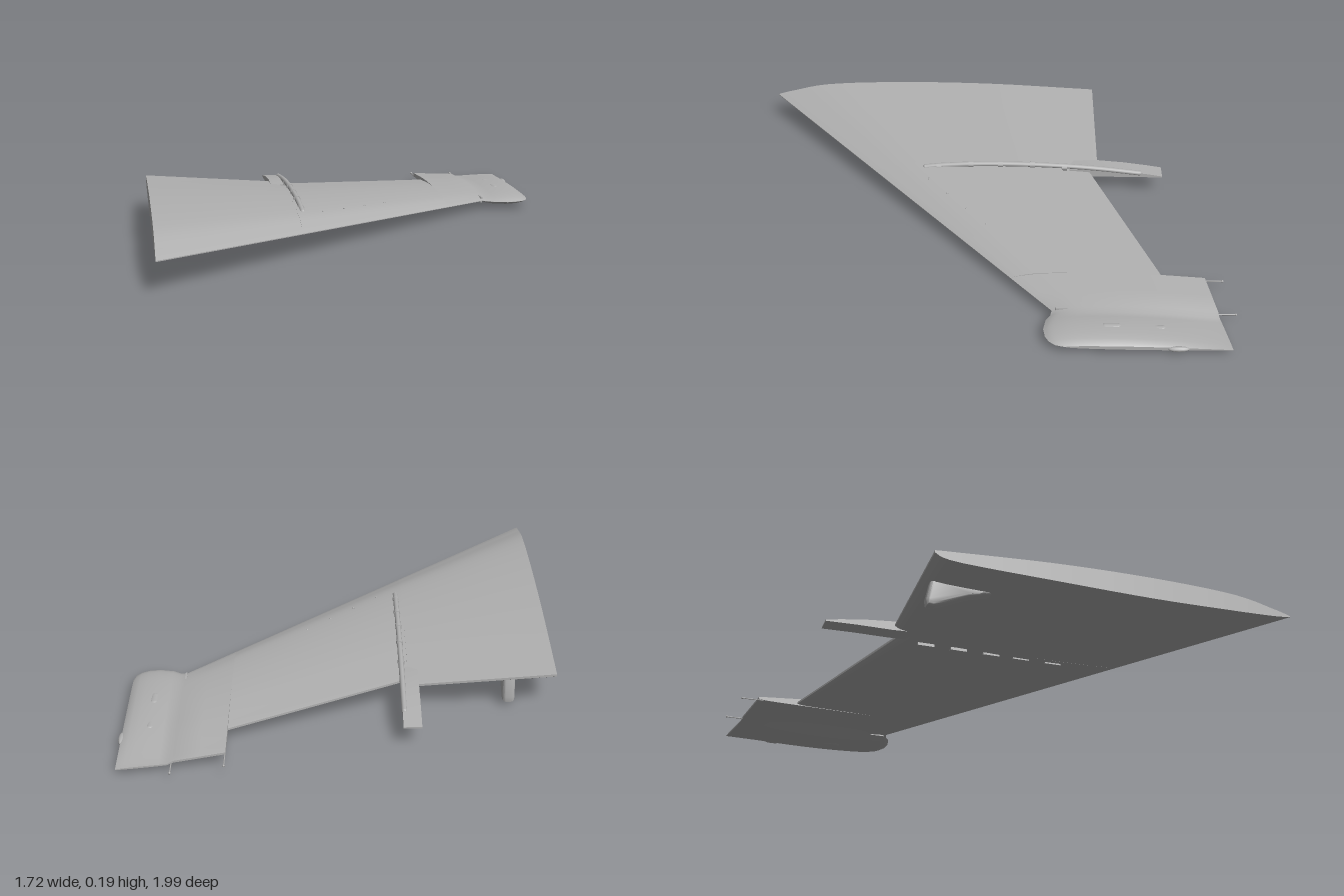
import * as THREE from 'three';
import { toCreasedNormals } from 'three/addons/utils/BufferGeometryUtils.js';

const T = [0, 0.05, 0.17, 0.4, 0.67, 0.94, 1];
const ROOT = {
  up: [0.12, 0.141, 0.177, 0.19, 0.184, 0.161, 0.155],
  low: [0.116, 0.109, 0.104, 0.1, 0.108, 0.12, 0.145],
};
const TIP = {
  up: [0.037, 0.045, 0.055, 0.06, 0.056, 0.042, 0.038],
  low: [0.035, 0.03, 0.027, 0.025, 0.026, 0.028, 0.03],
};
const lerp = THREE.MathUtils.lerp;
const leadZ = (x) => lerp(0.99, -0.27, (x + 0.86) / 1.5);

// Section of the wing at span position x with a given trailing edge
function wingSection(x, te) {
  const k = (x + 0.86) / 1.5;
  const mix = (key) => ROOT[key].map((v, i) => lerp(v, TIP[key][i], k));
  return { x, le: leadZ(x), te, up: mix('up'), low: mix('low') };
}

// Closed skin through sections ordered by increasing x
function loft(sections) {
  const n = 28;
  const rings = sections.map((s) => {
    const side = (ys) => new THREE.SplineCurve(T.map((t, i) => new THREE.Vector2(t, ys[i])))
      .getPoints(n).map((p) => [s.x, p.y, lerp(s.le, s.te, p.x)]);
    return [...side(s.up), ...side(s.low).reverse()];
  });
  const pos = [];
  const tri = (a, b, c) => pos.push(...a, ...b, ...c);
  const m = rings[0].length;
  for (let i = 0; i < rings.length - 1; i++) {
    const A = rings[i], B = rings[i + 1];
    for (let j = 0; j < m; j++) {
      const q = (j + 1) % m;
      tri(A[j], B[j], A[q]);
      tri(B[j], B[q], A[q]);
    }
  }
  const cap = (r, flip) => {
    for (let k = 0; k < n; k++) {
      const u = r[k], u2 = r[k + 1], l = r[m - 1 - k], l2 = r[m - 2 - k];
      if (flip) { tri(u, l, u2); tri(u2, l, l2); } else { tri(u, u2, l); tri(u2, l2, l); }
    }
  };
  cap(rings[0], false);
  cap(rings[rings.length - 1], true);
  const g = new THREE.BufferGeometry();
  g.setAttribute('position', new THREE.Float32BufferAttribute(pos, 3));
  return toCreasedNormals(g, 0.6);
}

// Side outline given as [z, y], extruded along x
function sideExtrude(points, x, width, bevel = 0) {
  const shape = new THREE.Shape(points.map(([z, y]) => new THREE.Vector2(-z, y)));
  const g = new THREE.ExtrudeGeometry(shape, {
    depth: width - 2 * bevel, bevelEnabled: bevel > 0, bevelSize: bevel,
    bevelThickness: bevel, bevelOffset: -bevel, bevelSegments: 4,
  });
  g.rotateY(Math.PI / 2);
  g.translate(x + bevel, 0, 0);
  return toCreasedNormals(g, 0.6);
}

export function createModel() {
  const group = new THREE.Group();
  const grey = new THREE.MeshStandardMaterial({ color: 0xb0b0b0 });
  const add = (name, geometry, x = 0, y = 0, z = 0) => {
    const mesh = new THREE.Mesh(geometry, grey);
    mesh.name = name;
    mesh.position.set(x, y, z);
    group.add(mesh);
    return mesh;
  };

  // Main wing panels
  add('inboardPanel', loft([-0.86, -0.67, -0.48, -0.27].map((x) => wingSection(x, -0.487))));
  add('outboardPanel', loft([-0.27, -0.03, 0.2, 0.44].map(
    (x) => wingSection(x, lerp(-0.45, -0.72, (x + 0.24) / 0.68)))));

  // Tip panel swelling into the rounded wingtip pod
  const tipTe = (x) => lerp(-0.89, -0.96, (x - 0.44) / 0.41);
  const bulge = [0.02, 0.5, 0.85, 1, 0.75, 0.2, 0.12];
  const podSection = ([x, le, h]) => {
    const mid = T.map((t) => lerp(0.034, 0.024, t));
    return {
      x, le, te: tipTe(x),
      up: mid.map((y, i) => y + h * bulge[i]),
      low: mid.map((y, i) => y - h * bulge[i]),
    };
  };
  add('wingtipPod', loft([
    ...[0.44, 0.54, 0.635].map((x) => wingSection(x, tipTe(x))),
    ...[[0.66, -0.26, 0.022], [0.69, -0.241, 0.026], [0.745, -0.23, 0.029], [0.79, -0.236, 0.027],
      [0.82, -0.251, 0.023], [0.84, -0.275, 0.016], [0.85, -0.31, 0.008]].map(podSection),
  ]));

  // Raised fence running over the wing, with collars
  const path = new THREE.CatmullRomCurve3([[0.27, 0.127], [0.2, 0.135], [0.05, 0.143], [-0.15, 0.143],
    [-0.35, 0.134], [-0.5, 0.121], [-0.67, 0.1]].map(([z, y]) => new THREE.Vector3(-0.245, y, z)));
  add('fenceTube', new THREE.TubeGeometry(path, 40, 0.011, 10));
  add('fenceNose', new THREE.SphereGeometry(0.011, 10, 8), -0.245, 0.127, 0.27);
  add('fenceTail', new THREE.SphereGeometry(0.011, 10, 8), -0.245, 0.1, -0.67);
  for (const z of [0.21, 0.07, -0.06, -0.2, -0.34]) {
    const y = 0.143 - 0.22 * Math.max(0, Math.abs(z + 0.06) - 0.1) ** 1.6;
    const collar = add('fenceCollar', new THREE.CylinderGeometry(0.014, 0.014, 0.022, 12), -0.245, y, z);
    collar.rotation.x = Math.PI / 2;
    // Matching strap plate under the wing
    const under = lerp(0.1, 0.025, 0.41) + 0.004;
    add('lowerStrap', new THREE.BoxGeometry(0.014, 0.012, 0.07), -0.245, under - 0.003, z);
  }

  // Beam reaching behind the trailing edge
  add('trailingBeam', sideExtrude([[-0.36, 0.12], [-0.48, 0.124], [-0.6, 0.113], [-0.7, 0.099], [-0.77, 0.087],
    [-0.77, 0.081], [-0.64, 0.084], [-0.5, 0.084], [-0.36, 0.09]], -0.31, 0.072));

  // Wedge fairing beneath the inboard trailing edge
  add('hingeFairing', sideExtrude([[-0.17, 0.112], [-0.3, 0.075], [-0.4, 0.03], [-0.44, 0.013], [-0.465, 0.015],
    [-0.47, 0.04], [-0.45, 0.13], [-0.3, 0.13]], -0.7, 0.05, 0.014));

  // Capsule blisters on both sides of the pod
  for (const z of [-0.495, -0.67]) {
    for (const [y, name] of [[z < -0.6 ? 0.045 : 0.054, 'upperBlister'], [z < -0.6 ? 0.013 : 0.006, 'lowerBlister']]) {
      const capsule = add(name, new THREE.CapsuleGeometry(0.016, 0.046, 6, 12), 0.745, y, z);
      capsule.rotation.x = Math.PI / 2;
      capsule.scale.z = 0.45;
    }
  }

  // Side lamp on the pod edge
  const lamp = add('sideLamp', new THREE.SphereGeometry(1, 14, 10), 0.85, 0.028, -0.75);
  lamp.scale.set(0.012, 0.011, 0.042);

  // Small root lug where the pod meets the leading edge
  add('leadingLug', new THREE.BoxGeometry(0.008, 0.026, 0.06), 0.634, 0.038, -0.31);

  // Thin discharge rods with end beads
  for (const [x, z0, z1, y] of [[0.443, -0.87, -0.965, 0.04], [0.643, -0.91, -0.997, 0.03]]) {
    const rod = add('dischargeRod', new THREE.CylinderGeometry(0.0025, 0.0025, z0 - z1, 8), x, y, (z0 + z1) / 2);
    rod.rotation.x = Math.PI / 2;
    add('rodBead', new THREE.SphereGeometry(0.005, 8, 6), x, y, z1 + 0.004);
  }

  // Row of small studs behind the leading edge
  for (const x of [-0.16, -0.06, 0.04, 0.14]) {
    const k = (x + 0.86) / 1.5;
    add('stud', new THREE.SphereGeometry(0.004, 8, 6), x, lerp(0.18, 0.056, k), leadZ(x) - 0.15);
  }
  return group;
}
